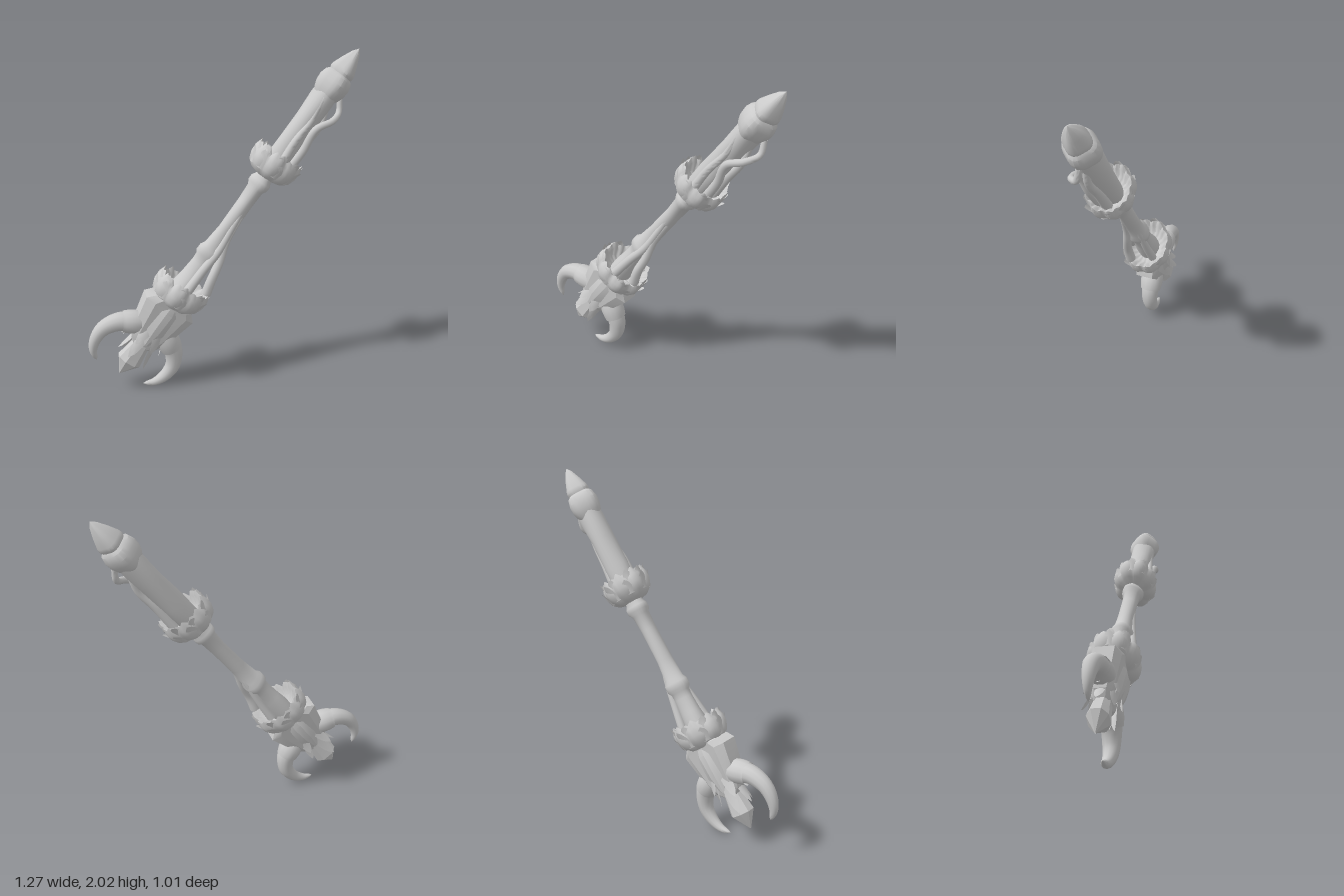
import * as THREE from 'three';
import { mergeVertices, toCreasedNormals } from 'three/addons/utils/BufferGeometryUtils.js';

const stone = new THREE.MeshStandardMaterial({ color: 0xcacaca, side: THREE.DoubleSide });
stone.name = 'grey stone';

const V = (x, y, z = 0) => new THREE.Vector3(x, y, z);

function add(parent, name, geometry) {
  const m = new THREE.Mesh(geometry, stone);
  m.name = name;
  parent.add(m);
  return m;
}

// Moves every vertex by a rule and refreshes the normals
function reshape(geo, rule, crease = 0.7) {
  const p = geo.attributes.position;
  const v = new THREE.Vector3();
  for (let i = 0; i < p.count; i++) {
    v.fromBufferAttribute(p, i);
    rule(v, i);
    p.setXYZ(i, v.x, v.y, v.z);
  }
  geo.deleteAttribute('normal');
  geo.deleteAttribute('uv');
  return toCreasedNormals(mergeVertices(geo, 1e-4), crease);
}

// Lathe around the staff axis from [radius, height] pairs
function turned(points, sides, rule, crease = 0.8) {
  const pts = points.map(([r, y]) => new THREE.Vector2(r, y));
  return reshape(new THREE.LatheGeometry(pts, sides), rule, crease);
}

// Tube whose radius follows radius(t)
function taperTube(points, radius, segs = 28, sides = 12, crease = 1) {
  const curve = new THREE.CatmullRomCurve3(points);
  const geo = new THREE.TubeGeometry(curve, segs, 1, sides);
  return reshape(geo, (v, i) => {
    const t = Math.floor(i / (sides + 1)) / segs;
    const c = curve.getPointAt(t);
    v.sub(c).multiplyScalar(radius(t)).add(c);
  }, crease);
}

// Loft of chamfered rectangles: sections are [height, halfX, halfZ]
function loft(sections, chamfer) {
  const pos = [], idx = [], n = 8;
  const k = 1 - chamfer;
  const ring = [[1, k], [k, 1], [-k, 1], [-1, k], [-1, -k], [-k, -1], [k, -1], [1, -k]];
  for (const [y, hx, hz] of sections) for (const [a, b] of ring) pos.push(a * hx, y, b * hz);
  for (let s = 0; s < sections.length - 1; s++) for (let i = 0; i < n; i++) {
    const a = s * n + i, b = s * n + (i + 1) % n;
    idx.push(a, a + n, b, b, a + n, b + n);
  }
  const g = new THREE.BufferGeometry();
  g.setAttribute('position', new THREE.Float32BufferAttribute(pos, 3));
  g.setIndex(idx);
  return toCreasedNormals(g, 0.35);
}

// Pointed, cupped leaf that starts at radius r0 and leans outward, then curls
function leaf(width, length, r0, lean, curl) {
  return reshape(new THREE.PlaneGeometry(1, 1, 4, 6), (v) => {
    const t = v.y + 0.5;
    const w = width * (0.7 + 0.8 * t) * Math.pow(1 - t, 0.65);
    const side = v.x;
    const out = r0 + length * (lean * t + curl * t * t) - side * side * width * 0.6 * (1 - t);
    v.set(out, length * t, side * w);
  }, 1);
}

function leafRing(parent, name, count, y, width, length, r0, lean, curl, sx, sz) {
  const ring = new THREE.Group();
  ring.name = name;
  ring.position.y = y;
  ring.scale.set(sx, 1, sz);
  for (let i = 0; i < count; i++) {
    const size = 1 + 0.16 * Math.sin(i * 2.4);
    const m = add(ring, 'leaf', leaf(width, length * size, r0, lean, curl));
    m.rotation.y = (i + 0.15 * Math.sin(i * 5)) / count * Math.PI * 2;
  }
  parent.add(ring);
}

// Thick, rounded cup of overlapping petals with a ragged rim
function collar(parent, name, y, R, H, sx, sz) {
  const g = new THREE.Group();
  g.name = name;
  const profile = [[0.3 * R, -0.1 * H], [0.66 * R, -0.02 * H], [0.9 * R, 0.16 * H], [1.01 * R, 0.42 * H], [1.01 * R, 0.66 * H],
    [0.92 * R, 0.86 * H], [0.78 * R, 0.74 * H], [0.62 * R, 0.5 * H], [0.35 * R, 0.4 * H]];
  add(g, 'petal cup', turned(profile, 72, (v) => {
    const a = Math.atan2(v.z, v.x);
    const up = Math.max(0, v.y / H);
    const lobe = Math.abs(Math.sin(a * 4 + 0.4));
    const tooth = Math.abs(((a / (Math.PI * 2) * 18 + 18) % 1) - 0.5) * 2;
    const k = 0.93 + 0.1 * lobe;
    v.x *= k * sx;
    v.z *= k * sz;
    v.y += up * up * H * (0.16 * tooth + 0.16 * lobe - 0.14);
  }, 1)).position.y = y;
  leafRing(g, 'outer leaves', 8, y + 0.12 * H, R * 0.6, H * 0.6, R * 0.88, 0.28, 0.06, sx, sz);
  leafRing(g, 'rim leaves', 9, y + 0.58 * H, R * 0.5, H * 0.36, R * 0.96, 0.02, 0.12, sx, sz);
  parent.add(g);
}

export function createModel() {
  const model = new THREE.Group();
  model.name = 'clawed staff';

  // The staff is built upright, then leaned: x is across the claws, y runs up the shaft
  const staff = new THREE.Group();
  staff.name = 'staff';
  const d = V(1.12, 1.9, -0.88).normalize();
  const u = V(0, 1, 0).addScaledVector(d, -d.y).normalize();
  const w = u.clone().cross(d);
  staff.quaternion.setFromRotationMatrix(new THREE.Matrix4().makeBasis(u, d, w));
  staff.position.set(-0.49, 0.1, 0.38);
  model.add(staff);

  // Shaft with rings, slightly knotted like wood
  add(staff, 'shaft', turned([[0.07, 0.55], [0.07, 0.68], [0.06, 0.76], [0.054, 0.85], [0.057, 0.89], [0.07, 0.91],
    [0.07, 0.95], [0.056, 0.975], [0.047, 1.1], [0.046, 1.3], [0.051, 1.4], [0.066, 1.425], [0.066, 1.455], [0.052, 1.48],
    [0.068, 1.58], [0.071, 1.72], [0.07, 1.9], [0.074, 2.04], [0.07, 2.12]], 24, (v) => {
    const a = Math.atan2(v.z, v.x);
    const k = 1 + 0.06 * Math.sin(a * 3 + v.y * 9);
    v.x *= k;
    v.z *= k;
  }));

  // Pommel: squarish bulb and pointed cap
  add(staff, 'pommel', turned([[0.066, 2.05], [0.082, 2.075], [0.094, 2.11], [0.097, 2.15], [0.086, 2.19], [0.07, 2.205],
    [0.075, 2.22], [0.072, 2.24], [0.05, 2.295], [0.024, 2.35], [0, 2.38]], 24, (v) => {
    const a = Math.atan2(v.z, v.x);
    const k = 0.97 + 0.07 * Math.cos(a * 4);
    v.x *= k;
    v.z *= k;
  }, 0.6));

  // Vines on the upper grip and roots on the lower shaft
  const vines = [
    [[V(-0.075, 1.6, -0.04), V(-0.07, 1.74, -0.06), V(-0.045, 1.88, -0.085), V(-0.1, 1.97, -0.075),
      V(-0.125, 2.03, -0.02), V(-0.085, 2.1, 0.0)], 0.025],
    [[V(0.0, 1.6, -0.085), V(0.01, 1.75, -0.075), V(0.0, 1.9, -0.062), V(0.02, 2.05, -0.06)], 0.023],
    [[V(-0.085, 1.6, 0.01), V(-0.08, 1.76, 0.0), V(-0.085, 1.9, -0.01), V(-0.05, 2.02, 0.0)], 0.028],
    [[V(-0.12, 0.72, -0.06), V(-0.09, 0.82, -0.065), V(-0.07, 0.93, -0.05), V(-0.035, 1.05, -0.035), V(-0.02, 1.22, -0.02)], 0.028],
    [[V(0.0, 0.68, -0.09), V(-0.01, 0.84, -0.07), V(-0.025, 0.98, -0.05), V(-0.015, 1.12, -0.035), V(0, 1.28, -0.025)], 0.027],
    [[V(-0.07, 0.68, 0.06), V(-0.055, 0.82, 0.045), V(-0.035, 0.95, 0.035), V(-0.01, 1.1, 0.015)], 0.024],
  ];
  for (const [pts, r] of vines) add(staff, 'vine', taperTube(pts, (t) => r * (1.1 - 0.45 * t), 32, 10));

  // Two petal collars
  collar(staff, 'lowerCollar', 0.55, 0.157, 0.17, 1.08, 0.92);
  collar(staff, 'upperCollar', 1.5, 0.142, 0.165, 1.06, 0.92);

  // Wedge-shaped head block that holds the claws
  add(staff, 'headBlock', loft([[0.2, 0.03, 0.03], [0.25, 0.09, 0.05], [0.32, 0.122, 0.068], [0.52, 0.17, 0.08],
    [0.56, 0.13, 0.085], [0.6, 0.06, 0.06]], 0.35));
  for (const s of [1, -1]) {
    add(staff, 'headFacet', loft([[0.26, 0.02, 0.01], [0.36, 0.06, 0.026], [0.5, 0.07, 0.03], [0.58, 0.03, 0.01]], 0.7))
      .position.z = s * 0.062;
  }

  // Crystal spike with broad leaves around it
  add(staff, 'spike', loft([[0, 0.004, 0.004], [0.1, 0.072, 0.058], [0.17, 0.062, 0.05], [0.3, 0.04, 0.04]], 0.55));
  const sheath = new THREE.Group();
  sheath.name = 'spikeLeaves';
  sheath.position.y = 0.34;
  sheath.rotation.x = Math.PI;
  leafRing(sheath, 'long leaves', 5, 0, 0.085, 0.2, 0.075, 0.02, 0.1, 1.1, 0.9);
  leafRing(sheath, 'short leaves', 6, -0.05, 0.08, 0.16, 0.09, 0.06, 0.12, 1.15, 0.85);
  staff.add(sheath);

  // Mirrored pair of curved claws, each in a thick cuff
  for (const s of [1, -1]) {
    const claw = new THREE.Group();
    claw.name = s > 0 ? 'upperClaw' : 'lowerClaw';
    const path = [V(0.06, 0.36), V(0.13, 0.33), V(0.205, 0.285), V(0.256, 0.205), V(0.257, 0.12), V(0.225, 0.05),
      V(0.172, 0.008)].map((p) => V(p.x * s, p.y));
    add(claw, 'talon', taperTube(path, (t) => 0.07 * Math.pow(Math.max(0.0004, 1 - t), 0.55)));
    const cuff = [V(0.07, 0.36), V(0.13, 0.33), V(0.185, 0.298)].map((p) => V(p.x * s, p.y));
    add(claw, 'cuff', taperTube(cuff, (t) => 0.064 + 0.009 * Math.sin(t * 3), 8, 14));
    staff.add(claw);
  }
  return model;
}
